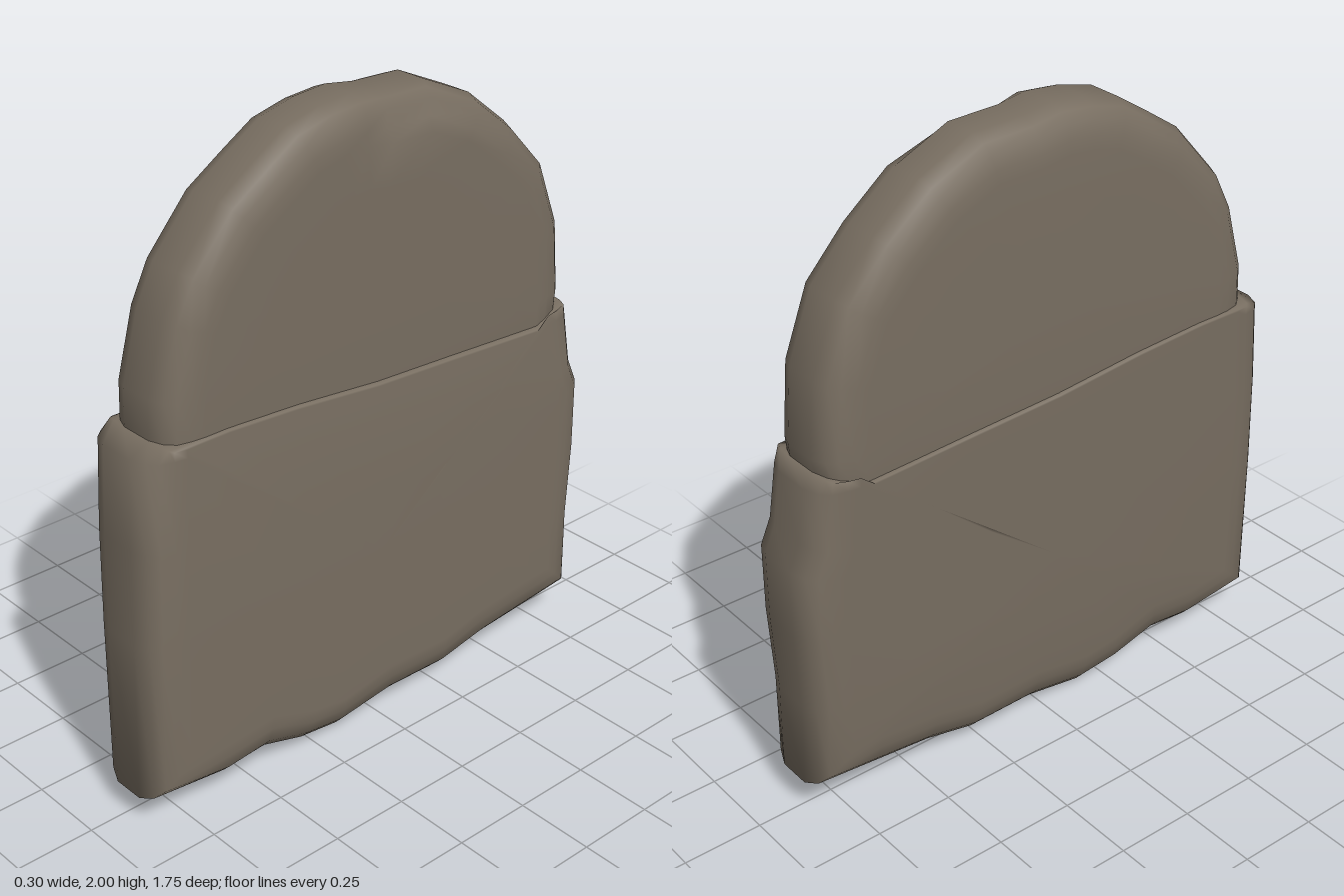
import * as THREE from 'three';
import { mergeVertices } from 'three/addons/utils/BufferGeometryUtils.js';

// Outlines as [z, y], clockwise when seen from +x
const CROWN = [
  [0.74, 1.0], [0.76, 1.2], [0.755, 1.32], [0.70, 1.53], [0.64, 1.65], [0.50, 1.81], [0.38, 1.89],
  [0.27, 1.96], [0.15, 1.99], [0.04, 2.0], [-0.06, 1.985], [-0.23, 1.98], [-0.41, 1.9],
  [-0.56, 1.78], [-0.69, 1.64], [-0.77, 1.43], [-0.79, 1.2], [-0.77, 1.0], [0, 0.98],
];
const CUFF = [
  [0.83, 1.17], [0.76, 1.2], [0.55, 1.2], [0.3, 1.185], [0, 1.155], [-0.3, 1.14], [-0.65, 1.12],
  [-0.79, 1.16], [-0.82, 1.12], [-0.84, 0.95], [-0.875, 0.87], [-0.875, 0.65], [-0.86, 0.4],
  [-0.86, 0.11], [-0.65, 0.09], [-0.45, 0.07], [-0.28, 0.03], [-0.05, 0.035], [0.15, 0.0],
  [0.3, 0.02], [0.45, 0.07], [0.6, 0.055], [0.875, 0.09], [0.86, 0.6], [0.85, 0.9],
];
// Half of the section: [inset, share of half thickness, shrink towards the middle]
const HALF = [
  [0, 0.4, 0], [0.018, 0.74, 0], [0.045, 0.91, 0], [0.09, 0.98, 0],
  [0.13, 1, 0], [0.13, 1, 0.3], [0.13, 1, 0.65], [0.13, 1, 1],
];
const RINGS = [...HALF.map(([d, t, k]) => [d, -t, k]).reverse(), ...HALF];

// Piecewise linear lookup through [y, value] pairs
function lookup(table, y) {
  for (let i = 1; i < table.length; i++) {
    const [y0, a] = table[i - 1], [y1, b] = table[i];
    if (y <= y1) return a + (b - a) * THREE.MathUtils.clamp((y - y0) / (y1 - y0), 0, 1);
  }
  return table[table.length - 1][1];
}

// Mitred inward direction at each outline point, as [z, y]
function inwardDirections(outline) {
  const n = outline.length;
  const edge = outline.map(([z, y], i) => {
    const [z1, y1] = outline[(i + 1) % n];
    const len = Math.hypot(z1 - z, y1 - y);
    return [-(y1 - y) / len, (z1 - z) / len];
  });
  return edge.map((b, i) => {
    const a = edge[(i + n - 1) % n];
    const d = Math.max(1 + a[0] * b[0] + a[1] * b[1], 0.8);
    return [(a[0] + b[0]) / d, (a[1] + b[1]) / d];
  });
}

// Soft slab: rings run from the -x face over the rim to the +x face
function slab(outline, middle, faceNeg, facePos, adjust) {
  const n = outline.length;
  const inward = inwardDirections(outline);
  const pos = [], index = [];
  for (const [inset, s, shrink] of RINGS) {
    outline.forEach(([z, y], i) => {
      const p = { x: 0, y: y + inward[i][1] * inset, z: z + inward[i][0] * inset };
      adjust(p, y, s, inset);
      p.z += (middle[0] - p.z) * shrink;
      p.y += (middle[1] - p.y) * shrink;
      const a = lookup(faceNeg, p.y), b = lookup(facePos, p.y);
      pos.push((a + b) / 2 + (s * (b - a)) / 2 + p.x, p.y, p.z);
    });
  }
  for (let j = 0; j < RINGS.length - 1; j++) {
    for (let i = 0; i < n; i++) {
      const i1 = (i + 1) % n;
      const a = j * n + i, b = (j + 1) * n + i, c = j * n + i1, d = (j + 1) * n + i1;
      if (j > 0) index.push(a, b, c);
      if (j < RINGS.length - 2) index.push(b, d, c);
    }
  }
  const geo = new THREE.BufferGeometry();
  geo.setAttribute('position', new THREE.Float32BufferAttribute(pos, 3));
  geo.setIndex(index);
  const merged = mergeVertices(geo, 1e-4);
  merged.computeVertexNormals();
  return merged;
}

export function createModel() {
  const group = new THREE.Group();
  const wool = new THREE.MeshStandardMaterial({ color: 0x786e61 });
  wool.name = 'brown grey wool';

  // Domed crown, with a slight dent at the gathered top
  const crown = new THREE.Mesh(slab(
    CROWN, [0, 1.45],
    [[0.9, -0.135], [1.3, -0.146], [1.8, -0.142], [2, -0.135]],
    [[0.9, 0.118], [1.3, 0.122], [2, 0.12]],
    (p, y, s, inset) => {
      if (y > 1.97 && p.z < 0 && s > 0.5 && inset < 0.1) p.x = -0.025;
    },
  ), wool);
  crown.name = 'crown';

  // Turned-up cuff, square along its upper edge
  const cuff = new THREE.Mesh(slab(
    CUFF, [0, 0.6],
    [[0, -0.095], [0.1, -0.115], [0.35, -0.133], [1.2, -0.155]],
    [[0, 0.125], [0.1, 0.15], [0.6, 0.15], [0.95, 0.148], [1.2, 0.132]],
    (p, y, s, inset) => {
      if (y < 1.05) return;
      p.y = y + (p.y - y) * 0.1;
      p.z = THREE.MathUtils.clamp(p.z, inset - 0.82, 0.83 - inset);
    },
  ), wool);
  cuff.name = 'cuff';

  group.add(crown, cuff);
  return group;
}
